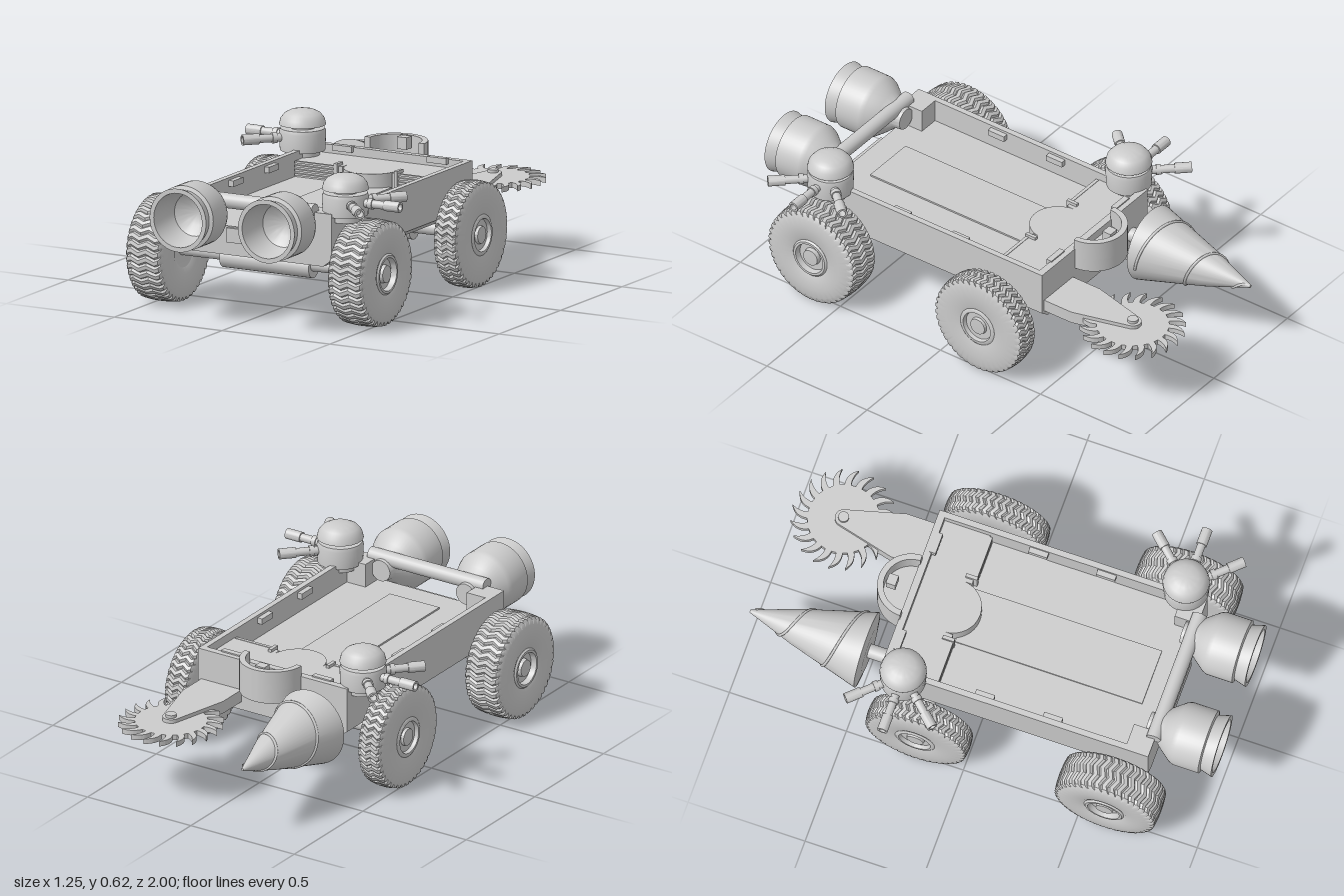
import * as THREE from 'three';
import { toCreasedNormals } from 'three/addons/utils/BufferGeometryUtils.js';

const grey = new THREE.MeshStandardMaterial({ color: 0xcccccc, side: THREE.DoubleSide });

const vec = (pts) => pts.map(([x, y]) => new THREE.Vector2(x, y));

function add(parent, name, geometry, x = 0, y = 0, z = 0) {
  const mesh = new THREE.Mesh(geometry, grey);
  mesh.name = name;
  mesh.position.set(x, y, z);
  parent.add(mesh);
  return mesh;
}

const box = (parent, name, w, h, d, x, y, z) =>
  add(parent, name, new THREE.BoxGeometry(w, h, d), x, y, z);

const lathe = (pts, segments = 40) =>
  toCreasedNormals(new THREE.LatheGeometry(vec(pts), segments), 0.6);

// Round bar from a to b
function rod(parent, name, a, b, r, segments = 24) {
  const from = new THREE.Vector3(...a), dir = new THREE.Vector3(...b).sub(from);
  const mesh = add(parent, name, new THREE.CylinderGeometry(r, r, dir.length(), segments));
  mesh.position.copy(from).addScaledVector(dir, 0.5);
  mesh.quaternion.setFromUnitVectors(new THREE.Vector3(0, 1, 0), dir.normalize());
  return mesh;
}

// Flat plate: outline in (x, -z), lying between heights y0 and y1
function plate(parent, name, shape, y0, y1) {
  const g = new THREE.ExtrudeGeometry(shape, { depth: y1 - y0, bevelEnabled: false, curveSegments: 24 });
  g.rotateX(-Math.PI / 2);
  return add(parent, name, toCreasedNormals(g, 0.5), 0, y0, 0);
}

// Tyre with zigzag tread cut into it by moving the lathe's vertices
function tyreGeometry(width) {
  const h = width / 2, profile = [[0.075, -h * 0.85], [0.1, -h * 0.97], [0.15, -h], [0.185, -h * 0.97], [0.205, -h * 0.9]];
  for (let i = 0; i <= 8; i++) profile.push([0.219 - 0.006 * ((i - 4) / 4) ** 2, h * (-0.82 + 0.205 * i)]);
  profile.push([0.205, h * 0.9], [0.185, h * 0.97], [0.15, h], [0.1, h * 0.97], [0.075, h * 0.85]);
  const steps = 42 * 4, g = new THREE.LatheGeometry(vec(profile), steps);
  const p = g.attributes.position;
  for (let i = 0; i < p.count; i++) {
    const column = Math.floor(i / profile.length), row = i % profile.length;
    const r = profile[row][0], tread = r > 0.2;
    const zig = tread ? 0.035 * Math.abs((row % 4) - 2) : 0.035;
    const angle = (column / steps) * Math.PI * 2 + zig;
    const radius = tread && column % 4 > 2 ? r - 0.009 : r;
    p.setXYZ(i, Math.sin(angle) * radius, p.getY(i), Math.cos(angle) * radius);
  }
  return toCreasedNormals(g, 0.5);
}

function wheel(parent, name, width, x, z) {
  const group = new THREE.Group();
  group.name = name;
  add(group, 'tyre', tyreGeometry(width));
  const h = width / 2;
  add(group, 'hub', lathe([[0, -h * 0.7], [0.08, -h * 0.85], [0.085, h * 0.9], [0.078, h * 0.98], [0.068, h * 0.98],
    [0.064, h * 0.7], [0.038, h * 0.7], [0.035, h * 0.9], [0, h * 0.92]]));
  group.rotation.z = x > 0 ? -Math.PI / 2 : Math.PI / 2;
  group.position.set(x, 0.22, z);
  parent.add(group);
}

// Domed turret with three barrels fanned towards +x
function turret(parent, x, z, turn) {
  const group = new THREE.Group();
  group.name = 'turret';
  add(group, 'turretBase', lathe([[0, 0.43], [0.07, 0.43], [0.07, 0.455], [0.092, 0.455], [0.095, 0.53], [0.09, 0.545], [0, 0.545]]));
  add(group, 'turretPost', new THREE.CylinderGeometry(0.05, 0.05, 0.03, 24), 0, 0.55, 0);
  add(group, 'turretDome', lathe([[0, 0.56], [0.095, 0.56], [0.089, 0.585], [0.073, 0.605], [0.05, 0.617], [0.025, 0.622], [0, 0.623]]));
  for (const a of [-0.82, 0, 0.82]) {
    const at = (r) => [Math.cos(a) * r, 0.51, Math.sin(a) * r];
    rod(group, 'barrel', at(0.05), at(0.2), 0.017);
    rod(group, 'barrelCollar', at(0.11), at(0.13), 0.022);
    const muzzle = add(group, 'muzzle', lathe([[0, 0], [0.022, 0], [0.022, 0.07], [0.014, 0.07], [0.012, 0.03], [0, 0.03]], 20), ...at(0.185));
    muzzle.quaternion.setFromUnitVectors(new THREE.Vector3(0, 1, 0), new THREE.Vector3(...at(1)).setY(0));
  }
  group.position.set(x, 0, z);
  group.rotation.y = turn;
  parent.add(group);
}

export function createModel() {
  const model = new THREE.Group();
  model.name = 'combatBuggy';

  // Open tub with chamfered floor
  const section = new THREE.Shape(vec([[-0.32, 0.25], [0.32, 0.25], [0.36, 0.28], [0.36, 0.47], [0.335, 0.47], [0.335, 0.37],
    [-0.335, 0.37], [-0.335, 0.47], [-0.36, 0.47], [-0.36, 0.28]]));
  add(model, 'hull', new THREE.ExtrudeGeometry(section, { depth: 1.145, bevelEnabled: false }), 0, 0, -0.405);
  box(model, 'rearWall', 0.7, 0.1, 0.03, 0, 0.42, -0.39);
  box(model, 'floorPanel', 0.24, 0.01, 0.8, 0, 0.372, 0.23);
  box(model, 'frontSill', 0.24, 0.06, 0.02, 0, 0.335, 0.745);
  rod(model, 'crossBar', [-0.28, 0.473, 0.735], [0.28, 0.473, 0.735], 0.031);

  // Rear deck with rounded step
  const deck = new THREE.Shape();
  deck.moveTo(-0.335, 0.39);
  deck.lineTo(-0.335, 0.18);
  deck.lineTo(-0.115, 0.18);
  deck.absarc(0, 0.22, 0.115, Math.PI, Math.PI * 2, false);
  deck.lineTo(0.115, 0.18);
  deck.lineTo(0.335, 0.18);
  deck.lineTo(0.335, 0.39);
  plate(model, 'rearDeck', deck, 0.37, 0.435);

  // Half-round cockpit wall behind the deck
  const tub = new THREE.Shape();
  tub.absarc(0, 0.4, 0.137, 0, Math.PI, false);
  plate(model, 'cockpitFloor', tub, 0.375, 0.435);
  const rim = new THREE.Shape();
  rim.absarc(0, 0.4, 0.137, 0, Math.PI, false);
  rim.absarc(0, 0.4, 0.112, Math.PI, 0, true);
  plate(model, 'cockpitWall', rim, 0.43, 0.515);
  box(model, 'cockpitLatch', 0.045, 0.05, 0.04, 0, 0.49, -0.48);

  for (const s of [-1, 1]) {
    box(model, 'cornerBlock', 0.11, 0.1, 0.1, s * 0.3, 0.42, 0.69);
    box(model, 'rearHandle', 0.09, 0.025, 0.025, s * 0.22, 0.463, -0.37);
    for (const z of [0.03, 0.32]) box(model, 'sideHandle', 0.025, 0.025, 0.08, s * 0.325, 0.447, z);
    for (let i = 0; i < 4; i++) box(model, 'stepSlat', 0.19, 0.008, 0.014, s * 0.235, 0.382 + i * 0.017, -0.175);
    box(model, 'stepPost', 0.015, 0.075, 0.05, s * 0.14, 0.41, -0.19);

    // Hollow rocket engine
    const engine = lathe([[0, 0.69], [0.045, 0.69], [0.05, 0.725], [0.09, 0.77], [0.125, 0.815], [0.133, 0.835], [0.133, 0.945], [0.117, 0.95],
      [0.131, 1.0], [0.112, 1.0], [0.106, 0.92], [0.09, 0.87], [0.05, 0.84], [0, 0.83]], 48);
    add(model, 'engine', engine.rotateX(Math.PI / 2), s * 0.205, 0.433, 0);

    wheel(model, 'frontWheel', 0.175, s * 0.468, 0.617);
    wheel(model, 'rearWheel', 0.118, s * 0.468, -0.2);
    turret(model, s * 0.37, s > 0 ? 0.645 : -0.303, s > 0 ? 0 : Math.PI);
  }
  for (const z of [0.617, -0.2]) {
    rod(model, 'axle', [-0.46, 0.222, z], [0.46, 0.222, z], 0.027);
    rod(model, 'axleHousing', [-0.207, 0.21, z], [0.207, 0.21, z], 0.043);
  }

  // Spiral drill
  const drill = [[0, 0.49], [0.1, 0.49], [0.16, 0.5], [0.146, 0.55], [0.075, 0.8], [0.006, 1.0], [0, 1.0]];
  add(model, 'drillCone', lathe(drill, 48).rotateX(-Math.PI / 2), -0.25, 0.312, 0);
  rod(model, 'drillShaft', [-0.25, 0.312, -0.5], [-0.25, 0.312, -0.39], 0.03);
  const spiral = [];
  for (let i = 0; i <= 60; i++) {
    const t = i / 60, z = 0.53 + 0.45 * t, a = Math.PI / 2 + ((z - 0.59) / 0.21) * Math.PI * 2;
    const r = z < 0.8 ? 0.146 - (z - 0.55) * 0.284 : 0.075 - (z - 0.8) * 0.345;
    spiral.push(new THREE.Vector3(Math.cos(a) * r, Math.sin(a) * r, -z));
  }
  add(model, 'drillThread', new THREE.TubeGeometry(new THREE.CatmullRomCurve3(spiral), 160, 0.006, 6), -0.25, 0.312, 0);

  // Saw arm, toothed blade and hub
  const arm = new THREE.Shape(vec([[0.15, 0.39], [0.345, 0.39], [0.345, 0.54]]));
  arm.absarc(0.245, 0.775, 0.035, 0.2, Math.PI - 0.2, false);
  arm.lineTo(0.15, 0.54);
  plate(model, 'sawArm', arm, 0.285, 0.338);
  const blade = new THREE.Shape(), teeth = 20;
  for (let i = 0; i < teeth; i++) {
    const at = (r, k) => [Math.cos((-(i + k) / teeth) * Math.PI * 2) * r, Math.sin((-(i + k) / teeth) * Math.PI * 2) * r];
    if (i === 0) blade.moveTo(...at(0.147, 0));
    blade.quadraticCurveTo(...at(0.195, 0.1), ...at(0.215, 0.85));
    blade.quadraticCurveTo(...at(0.18, 0.5), ...at(0.147, 0.6));
    blade.lineTo(...at(0.147, 1));
  }
  plate(model, 'sawBlade', blade, 0.3, 0.322).position.set(0.245, 0.3, -0.775);
  rod(model, 'sawHub', [0.245, 0.275, -0.775], [0.245, 0.35, -0.775], 0.022);

  return model;
}
